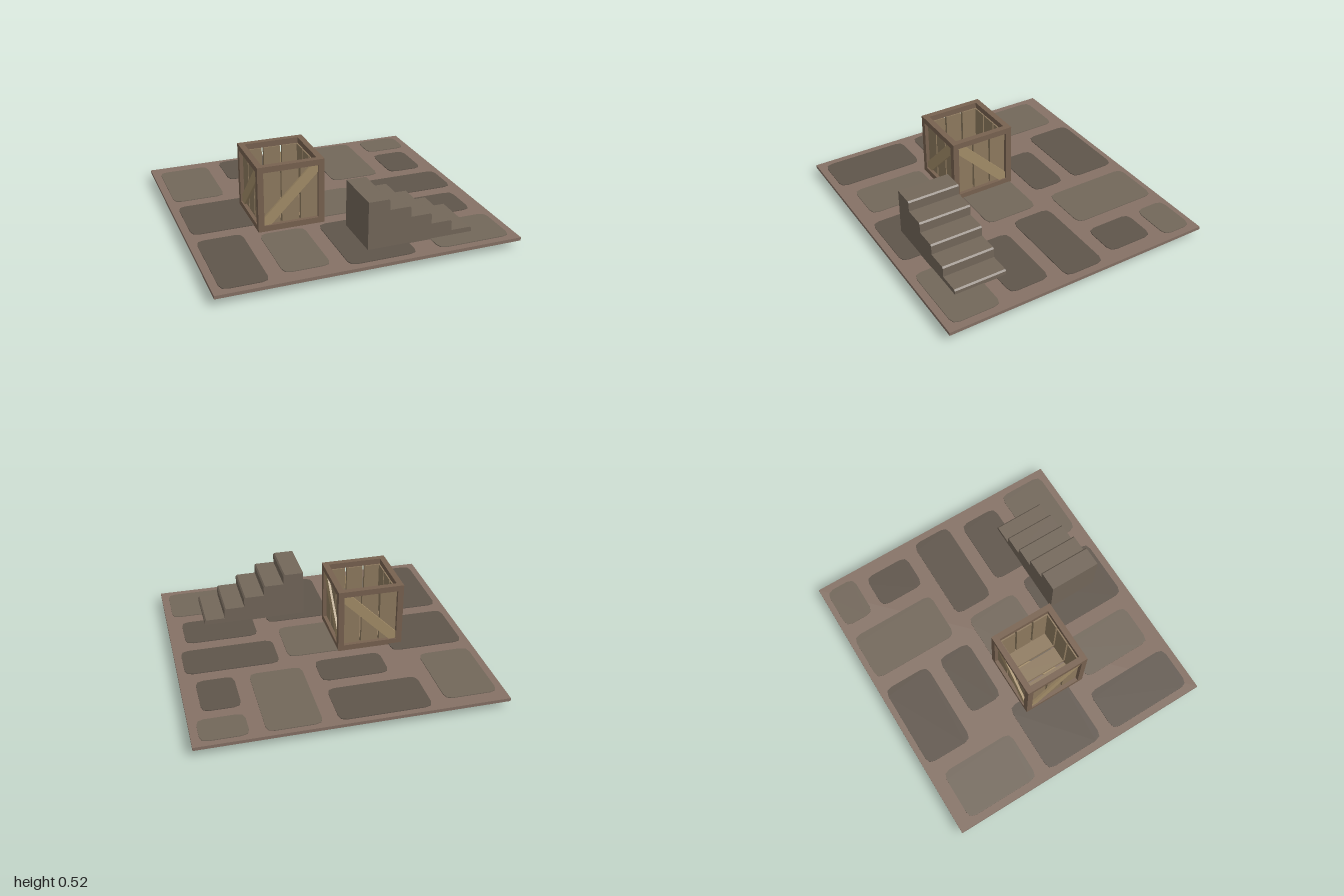
import * as THREE from 'three';

const mat = (color) => new THREE.MeshStandardMaterial({ color, flatShading: true });
const M = {
  mortar: mat(0x857165), dark: mat(0x5f554b), light: mat(0x72675a),
  stair: mat(0x73675a), frame: mat(0x786250), slat: mat(0x8e7a5f), brace: mat(0xa38d68),
};

function mesh(name, geo, material, parent) {
  const m = new THREE.Mesh(geo, material);
  m.name = name;
  parent.add(m);
  return m;
}

// Box given by its minimum and maximum corners
function box(name, x0, x1, y0, y1, z0, z1, material, parent) {
  const m = mesh(name, new THREE.BoxGeometry(x1 - x0, y1 - y0, z1 - z0), material, parent);
  m.position.set((x0 + x1) / 2, (y0 + y1) / 2, (z0 + z1) / 2);
  return m;
}

const polygon = (pts) => new THREE.Shape(pts.map(([x, y]) => new THREE.Vector2(x, y)));
const extrude = (shape, depth) =>
  new THREE.ExtrudeGeometry(shape, { depth, bevelEnabled: false, curveSegments: 2 });

// Paving stone: thin slab with softly cut corners
function stone(x0, x1, z0, z1, material, parent) {
  const w = (x1 - x0) / 2, h = (z1 - z0) / 2, r = 0.05;
  const s = new THREE.Shape();
  s.moveTo(-w + r, -h);
  s.lineTo(w - r, -h); s.quadraticCurveTo(w, -h, w, -h + r);
  s.lineTo(w, h - r); s.quadraticCurveTo(w, h, w - r, h);
  s.lineTo(-w + r, h); s.quadraticCurveTo(-w, h, -w, h - r);
  s.lineTo(-w, -h + r); s.quadraticCurveTo(-w, -h, -w + r, -h);
  const m = mesh('pavingStone', extrude(s, 0.012), material, parent);
  m.rotation.x = -Math.PI / 2;
  m.position.set((x0 + x1) / 2, 0.065, (z0 + z1) / 2);
}

function buildFloor() {
  const g = new THREE.Group();
  g.name = 'pavedFloor';
  box('mortarSlab', -1, 1, 0.05, 0.072, -0.94, 0.94, M.mortar, g);
  const D = M.dark, L = M.light;
  [
    [-0.95, -0.6, -0.85, -0.33, L], [-0.5, 0.1, -0.9, -0.57, D],
    [0.2, 0.55, -0.9, -0.285, L], [0.65, 0.95, -0.9, -0.69, L],
    [0.65, 0.9, -0.61, -0.285, D], [-0.35, 0.1, -0.475, -0.24, D],
    [-0.95, -0.45, -0.24, 0.185, D], [-0.35, 0.25, -0.145, 0.23, L],
    [0.32, 0.95, -0.19, 0.09, D], [0.4, 0.9, 0.185, 0.465, D],
    [-0.95, -0.65, 0.28, 0.89, D], [-0.55, -0.25, 0.33, 0.84, L],
    [-0.15, 0.3, 0.33, 0.89, D], [0.45, 0.95, 0.56, 0.89, L],
  ].forEach(([x0, x1, z0, z1, c]) => stone(x0, x1, z0, z1, c, g));
  return g;
}

// Stair block: stepped side profile with chamfered nosings
function buildStairs() {
  const x0 = 0.02, run = 0.144, rise = 0.0725, top = 0.4, steps = 5, c = 0.01;
  const pts = [[x0, 0], [x0 + run * steps, 0]];
  for (let i = steps - 1; i >= 0; i--) {
    const x = x0 + run * (i + 1), y = top - rise * i;
    pts.push([x, y - c], [x - c, y], [x - run, y]);
  }
  const m = mesh('stairs', extrude(polygon(pts), 0.36), M.stair, new THREE.Group());
  m.position.z = 0.4;
  return m;
}

// Crate panel facing +z: three slats with a diagonal brace outside (flip = mirrored layering)
function buildPanel(name, flip) {
  const g = new THREE.Group();
  g.name = name;
  const h = 0.185, w = 0.114, s = flip ? -1 : 1, cut = 0.05;
  for (let i = -1; i <= 1; i++) {
    const slat = mesh('slat', new THREE.BoxGeometry(w, 2 * h, 0.024), M.slat, g);
    slat.position.set(i * (2 * h - w) / 2, 0, s * 0.188);
  }
  const diagonal = polygon([[-h, -h], [-h + cut, -h], [h, h - cut], [h, h], [h - cut, h], [-h, -h + cut]]);
  const brace = mesh('diagonalBrace', extrude(diagonal, 0.015), M.brace, g);
  brace.position.z = flip ? -0.215 : 0.2;
  return g;
}

function buildCrate() {
  const g = new THREE.Group();
  g.name = 'crate';
  const a = 0.225, b = 0.185;
  // Frame: four posts, and four rails at top and bottom
  for (const s of [-1, 1]) {
    for (const t of [-1, 1]) {
      const u = s * (a + b) / 2, v = t * (a + b) / 2, th = a - b;
      const beam = (name, dx, dy, dz, x, y, z) =>
        mesh(name, new THREE.BoxGeometry(dx, dy, dz), M.frame, g).position.set(x, y, z);
      beam('cornerPost', th, 2 * b, th, u, 0, v);
      beam('longRail', 2 * a, th, th, 0, u, v);
      beam('sideRail', th, th, 2 * b, u, v, 0);
    }
  }
  // Panels: front, back, both sides and the bottom; the top stays open
  g.add(buildPanel('frontPanel', false), buildPanel('backPanel', true));
  const left = buildPanel('leftPanel', true), right = buildPanel('rightPanel', false);
  left.rotation.y = right.rotation.y = -Math.PI / 2;
  const bottom = buildPanel('bottomPanel', true);
  bottom.rotation.x = -Math.PI / 2;
  g.add(left, right, bottom);
  g.position.set(-0.315, 0.297, 0.07);
  return g;
}

export function createModel() {
  const model = new THREE.Group();
  model.name = 'courtyardScene';
  model.add(buildFloor(), buildStairs(), buildCrate());
  return model;
}
